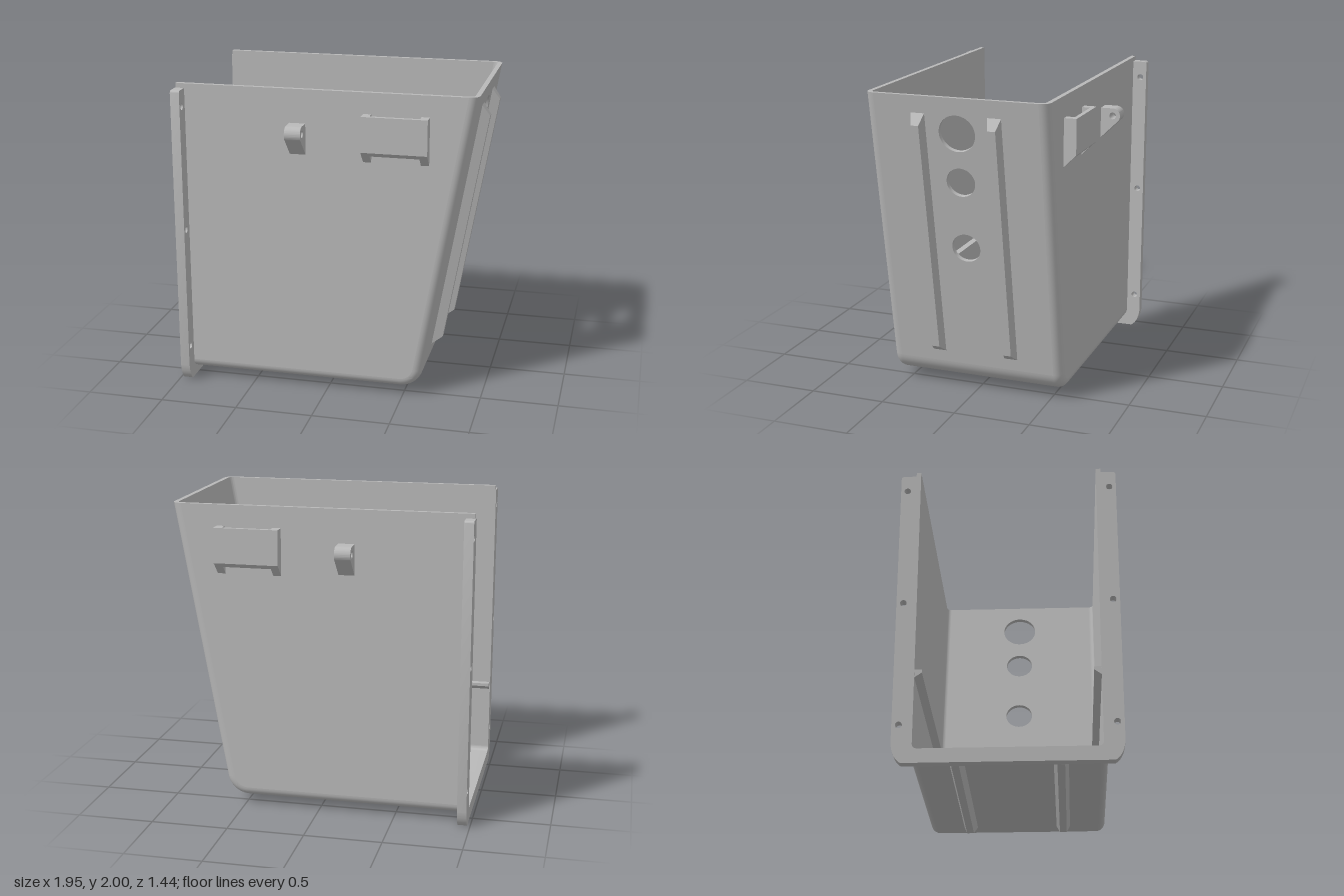
import * as THREE from 'three';
import { toCreasedNormals } from 'three/addons/utils/BufferGeometryUtils.js';

const grey = new THREE.MeshStandardMaterial({ color: 0xb8b8b8 });
grey.name = 'grey';

const HALF = 0.59, T = 0.03, R = 0.06;       // half width, wall thickness, edge radius
const BACK = -0.975, TOP = 2;
const SLOPE = THREE.MathUtils.degToRad(80);  // lean of the sloping wall
const BEND = { x: 0.48, y: 0.207, r: 0.147 };

export function createModel() {
  const model = new THREE.Group();
  model.name = 'openBin';

  const add = (name, geometry, parent = model) => {
    const mesh = new THREE.Mesh(toCreasedNormals(geometry, 0.6), grey);
    mesh.name = name;
    parent.add(mesh);
    return mesh;
  };
  const polygon = (pts) => new THREE.Shape(pts.map(([x, y]) => new THREE.Vector2(x, y)));
  const circle = (x, y, r) => new THREE.Path().absarc(x, y, r, 0, Math.PI * 2, true);
  const extrude = (shape, depth) =>
    new THREE.ExtrudeGeometry(shape, { depth, bevelEnabled: false, curveSegments: 20 });
  // Extrude a (z, y) profile along x, from x0 to x1
  const extrudeX = (shape, x0, x1) =>
    extrude(shape, x1 - x0).rotateY(-Math.PI / 2).translate(x1, 0, 0);

  // Path of the outer skin: floor, bend, sloping wall
  const station = (x, y, a) => ({ x, y, dx: Math.cos(a), dy: Math.sin(a) });
  const path = [station(BACK, BEND.y - BEND.r, 0)];
  for (let i = 0; i <= 14; i++) {
    const a = (SLOPE * i) / 14;
    path.push(station(BEND.x + BEND.r * Math.sin(a), BEND.y - BEND.r * Math.cos(a), a));
  }
  const foot = path[path.length - 1];
  const wallLength = (TOP - foot.y) / foot.dy;
  const rim = station(foot.x + foot.dx * wallLength, TOP, SLOPE);
  // Point at a depth inside the skin; the rim is cut level
  const at = (s, depth) => {
    let x = s.x - s.dy * depth, y = s.y + s.dx * depth;
    if (s === rim) { x += (s.dx / s.dy) * (TOP - y); y = TOP; }
    return [x, y];
  };

  // Sweep a closed (z, depth) section whose outer and inner halves pair up
  const sweep = (stations, loop) => {
    const n = loop.length, pos = [], idx = [];
    for (const s of stations) for (const [z, depth] of loop) pos.push(...at(s, depth), z);
    const quad = (a, b, c, d) => idx.push(a, b, c, a, c, d);
    for (let i = 0; i < stations.length - 1; i++)
      for (let j = 0; j < n; j++) {
        const k = (j + 1) % n;
        quad(i * n + j, i * n + k, (i + 1) * n + k, (i + 1) * n + j);
      }
    const e = (stations.length - 1) * n;
    for (let k = 0; k < n / 2 - 1; k++) {
      quad(n - 1 - k, n - 2 - k, k + 1, k);
      quad(e + k, e + k + 1, e + n - 2 - k, e + n - 1 - k);
    }
    const g = new THREE.BufferGeometry();
    g.setAttribute('position', new THREE.Float32BufferAttribute(pos, 3));
    g.setIndex(idx);
    return g;
  };
  const arc = (r) => Array.from({ length: 9 }, (_, i) => {
    const a = (Math.PI / 2) * (i / 8);
    return [HALF - R + r * Math.cos(a), R - r * Math.sin(a)];
  });
  const flip = (pts) => pts.map(([z, d]) => [-z, d]).reverse();
  const outer = arc(R), inner = arc(R - T).reverse();
  const corner = [...outer, ...inner];

  // Floor with rounded edges, then the two corners of the sloping wall
  add('floorAndBend', sweep(path, [...outer, ...flip(outer), ...flip(inner), ...inner]));
  add('leftWallCorner', sweep([foot, rim], corner));
  add('rightWallCorner', sweep([foot, rim], flip(corner)));

  // Side walls
  const side = polygon([...[...path, rim].map((s) => at(s, R)), [BACK, TOP]]);
  for (const z of [HALF - T, -HALF]) add('sideWall', extrude(side, T).translate(0, 0, z));

  // Local frame on the skin: y along the path, z outward
  const frame = (name, s) => {
    const group = new THREE.Group();
    group.name = name;
    group.position.set(s.x, s.y, 0);
    group.quaternion.setFromRotationMatrix(new THREE.Matrix4().makeBasis(
      new THREE.Vector3(0, 0, -1),
      new THREE.Vector3(s.dx, s.dy, 0),
      new THREE.Vector3(s.dy, -s.dx, 0)));
    model.add(group);
    return group;
  };
  // Rib with sloped sides and ends
  const rib = (x, y0, y1, width, tip, height) => {
    const g = new THREE.BoxGeometry(width, y1 - y0, height);
    const p = g.attributes.position;
    for (let i = 0; i < p.count; i++) if (p.getZ(i) > 0) {
      p.setX(i, Math.sign(p.getX(i)) * tip / 2);
      p.setY(i, p.getY(i) - Math.sign(p.getY(i)) * 0.06);
    }
    return g.translate(x, (y0 + y1) / 2, height / 2);
  };

  // Sloping wall panel with three round openings
  const wall = frame('slopingWall', foot);
  const w = HALF - R;
  const panel = polygon([[-w, 0], [w, 0], [w, wallLength], [-w, wallLength]]);
  for (const [y, r] of [[1.775, 0.118], [1.46, 0.094], [1.02, 0.094]])
    panel.holes.push(circle(0, (y - foot.y) / foot.dy, r));
  const panelGeo = extrude(panel, T).translate(0, 0, -T);
  const pp = panelGeo.attributes.position;
  for (let i = 0; i < pp.count; i++)
    if (pp.getY(i) > wallLength - 0.001 && pp.getZ(i) < -0.001)
      pp.setY(i, wallLength - T * foot.dx / foot.dy);
  add('wallPanel', panelGeo, wall);

  const floor = frame('floorRibs', station(0, 0.06, 0));
  for (const s of [-1, 1]) {
    add('wallRib', rib(s * 0.247, 0.08, 1.735, 0.088, 0.05, 0.06), wall);
    add('floorRib', rib(s * 0.31, -0.975, 0.39, 0.09, 0.045, 0.06), floor);
  }

  // U-shaped mounting flange around the open end
  const F = 0.685, f = new THREE.Shape();
  f.moveTo(-F + 0.06, 0).lineTo(F - 0.06, 0);
  f.quadraticCurveTo(F - 0.01, 0.03, F, 0.12);
  f.lineTo(F, 1.95).quadraticCurveTo(F, 1.97, F - 0.02, 1.97);
  f.lineTo(0.56, 1.97).lineTo(0.56, 0.12).quadraticCurveTo(0.56, 0.09, 0.53, 0.09);
  f.lineTo(-0.53, 0.09).quadraticCurveTo(-0.56, 0.09, -0.56, 0.12).lineTo(-0.56, 1.97);
  f.lineTo(-F + 0.02, 1.97).quadraticCurveTo(-F, 1.97, -F, 1.95).lineTo(-F, 0.12);
  f.quadraticCurveTo(-F + 0.01, 0.03, -F + 0.06, 0);
  for (const z of [-0.643, 0.643])
    for (const y of [0.24, 1.05, 1.86]) f.holes.push(circle(z, y, 0.021));
  add('flange', extrudeX(f, -0.98, -0.92));

  // Fittings on each side: handle, lug and inner ledge
  for (const s of [1, -1]) {
    const fittings = new THREE.Group();
    fittings.name = s > 0 ? 'frontSideFittings' : 'backSideFittings';
    if (s < 0) fittings.rotation.y = Math.PI;
    model.add(fittings);
    const put = (name, shape, x0, x1) =>
      add(name, s > 0 ? extrudeX(shape, x0, x1) : extrudeX(shape, -x1, -x0), fittings);

    const arm = polygon([[0.58, 1.55], [0.67, 1.64], [0.67, 1.865], [0.58, 1.865]]);
    put('handleArm', arm, 0.235, 0.287);
    put('handleArm', arm, 0.598, 0.65);
    put('handlePlate',
      polygon([[0.643, 1.613], [0.67, 1.64], [0.67, 1.865], [0.643, 1.865]]), 0.287, 0.598);

    const lug = new THREE.Shape();
    lug.moveTo(0.58, 1.575).lineTo(0.705, 1.699);
    lug.absarc(0.67, 1.734, 0.05, -Math.PI / 4, Math.PI / 2, false);
    lug.lineTo(0.58, 1.784);
    lug.holes.push(circle(0.67, 1.734, 0.022));
    put('lug', lug, -0.235, -0.133);

    put('innerLedge',
      polygon([[0.565, 0.545], [0.565, 0.6], [0.515, 0.6], [0.515, 0.58]]), -0.975, 0.62);
  }

  // Cross strip on the floor with two screw holes and thin lips
  const strip = polygon([[-0.095, -0.505], [0.075, -0.505], [0.075, 0.505], [-0.095, 0.505]]);
  for (const y of [-0.31, 0.31]) strip.holes.push(circle(-0.01, y, 0.021));
  add('crossStrip', extrude(strip, 0.03).rotateX(-Math.PI / 2).translate(0, 0.085, 0));
  for (const x of [-0.095, 0.072])
    add('crossStripLip', new THREE.BoxGeometry(0.01, 0.04, 1.01).translate(x, 0.105, 0));

  return model;
}
